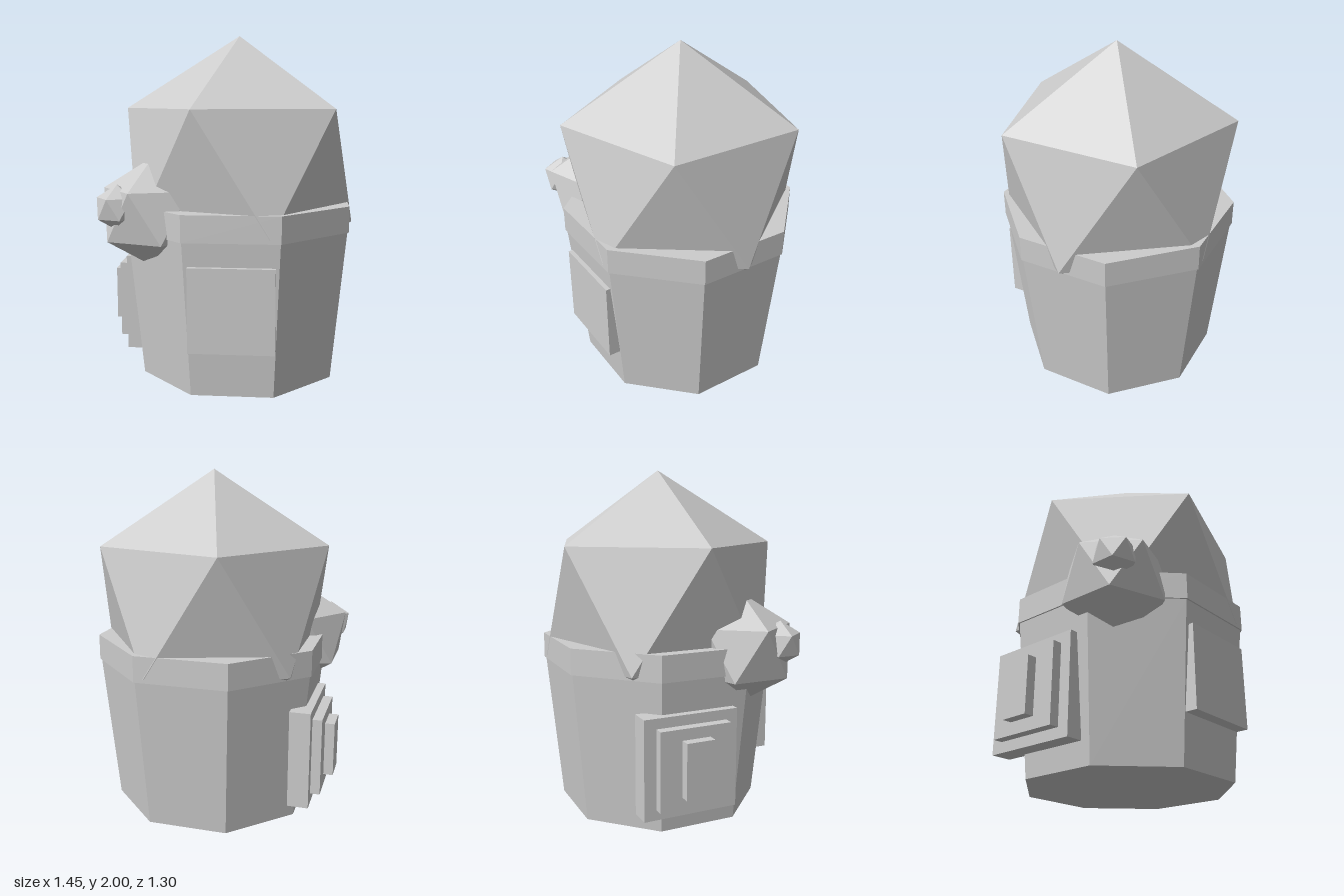
import * as THREE from 'three';
import { ConvexGeometry } from 'three/addons/geometries/ConvexGeometry.js';

const CX = 0.045; // axis of the pot and crown

export function createModel() {
  const group = new THREE.Group();
  const stone = new THREE.MeshStandardMaterial({ color: 0xcccccc });
  stone.name = 'light grey';

  const add = (name, geometry, x, y, z) => {
    const mesh = new THREE.Mesh(geometry, stone);
    mesh.name = name;
    mesh.position.set(x, y, z);
    group.add(mesh);
  };

  // Eight-sided flat-shaded frustum, sized by the distance to its flat sides
  const octagon = (top, bottom, height) => {
    const k = 1 / Math.cos(Math.PI / 8);
    const g = new THREE.CylinderGeometry(top * k, bottom * k, height, 8)
      .rotateY(Math.PI / 8).toNonIndexed();
    g.computeVertexNormals();
    return g;
  };

  // Icosahedron standing on a corner, upper ring pointing to -x
  const icosahedron = (r) => {
    const points = [new THREE.Vector3(0, r, 0), new THREE.Vector3(0, -r, 0)];
    const ring = r * 2 / Math.sqrt(5), h = r / Math.sqrt(5);
    for (let i = 0; i < 5; i++) {
      const a = i * Math.PI * 2 / 5;
      const x = ring * Math.cos(a), z = ring * Math.sin(a);
      points.push(new THREE.Vector3(-x, h, z), new THREE.Vector3(x, -h, z));
    }
    return new ConvexGeometry(points);
  };

  // Box given by its limits on each axis
  const slab = (name, [x0, x1], [y0, y1], [z0, z1]) =>
    add(name, new THREE.BoxGeometry(x1 - x0, y1 - y0, z1 - z0),
      (x0 + x1) / 2, (y0 + y1) / 2, (z0 + z1) / 2);

  // Tapered pot and its rim
  add('pot', octagon(0.636, 0.555, 0.88), CX, 0.44, 0);
  add('rim', octagon(0.645, 0.645, 0.15), CX, 0.955, 0);

  // Crown and the two smaller clumps growing from its side
  add('crown', icosahedron(0.76), CX, 1.24, 0);
  add('sideClump', icosahedron(0.32), -0.425, 0.988, 0.31);
  add('smallClump', icosahedron(0.129), -0.599, 1.037, 0.461);

  // Front panel
  slab('frontPanel', [-0.19, 0.283], [0.275, 0.747], [0.55, 0.65]);

  // Stepped panel on the right side
  slab('sidePanelBase', [-0.62, -0.5], [0.13, 0.7], [-0.38, 0.18]);
  slab('sidePanelMiddle', [-0.675, -0.6], [0.19, 0.642], [-0.31, 0.112]);
  slab('sidePanelOuter', [-0.73, -0.65], [0.26, 0.578], [-0.182, -0.015]);

  return group;
}
